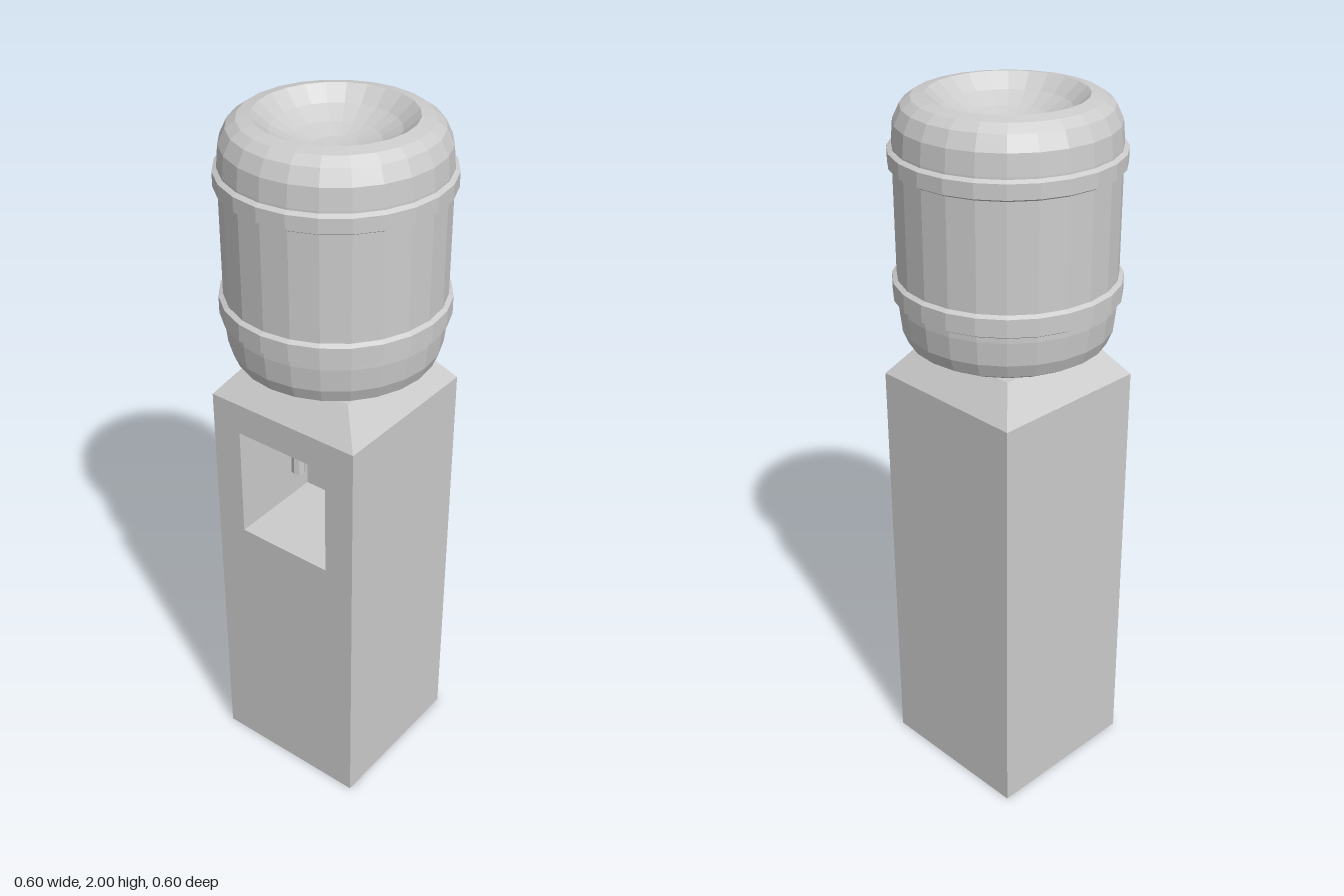
import * as THREE from 'three';

const material = new THREE.MeshStandardMaterial({ color: 0xcccccc, flatShading: true });

const HALF = 0.235;      // half width of the cabinet
const SHOULDER = 1.235;  // height where the cabinet starts to taper
const TOP = 1.325;       // height of the cabinet's flat top
const NICHE = { half: 0.145, y0: 0.815, y1: 1.145, depth: 0.285 };

function addMesh(parent, name, geometry, x = 0, y = 0, z = 0) {
  const mesh = new THREE.Mesh(geometry, material);
  mesh.name = name;
  mesh.position.set(x, y, z);
  parent.add(mesh);
  return mesh;
}

// Box without some faces (order: +x, -x, +y, -y, +z, -z); inward turns it inside out
function openBox(w, h, d, dropped, inward = false) {
  const box = new THREE.BoxGeometry(w, h, d);
  const index = [];
  for (let face = 0; face < 6; face++) {
    if (dropped.includes(face)) continue;
    for (let k = 0; k < 6; k += 3) {
      const [a, b, c] = [0, 1, 2].map((i) => box.index.getX(face * 6 + k + i));
      index.push(...(inward ? [a, c, b] : [a, b, c]));
    }
  }
  box.setIndex(index);
  box.clearGroups();
  box.computeVertexNormals();
  return box;
}

function rectangle(PathType, x, y0, y1) {
  const path = new PathType();
  path.moveTo(-x, y0).lineTo(x, y0).lineTo(x, y1).lineTo(-x, y1).closePath();
  return path;
}

function lathe(points, segments = 24) {
  return new THREE.LatheGeometry(points.map(([r, y]) => new THREE.Vector2(r, y)), segments);
}

function createCabinet() {
  const cabinet = new THREE.Group();
  cabinet.name = 'cabinet';

  // Sides, back and bottom
  addMesh(cabinet, 'cabinetShell', openBox(2 * HALF, SHOULDER, 2 * HALF, [2, 4]), 0, SHOULDER / 2, 0);

  // Front with the opening of the dispensing niche
  const front = rectangle(THREE.Shape, HALF, 0, SHOULDER);
  front.holes.push(rectangle(THREE.Path, NICHE.half, NICHE.y0, NICHE.y1));
  addMesh(cabinet, 'frontPanel', new THREE.ShapeGeometry(front), 0, 0, HALF);

  // Niche walls
  const height = NICHE.y1 - NICHE.y0;
  addMesh(cabinet, 'niche', openBox(2 * NICHE.half, height, NICHE.depth, [4], true),
    0, (NICHE.y0 + NICHE.y1) / 2, HALF - NICHE.depth / 2);

  // Tapered top
  const taper = new THREE.CylinderGeometry(0.165 * Math.SQRT2, HALF * Math.SQRT2, TOP - SHOULDER, 4);
  taper.rotateY(Math.PI / 4);
  addMesh(cabinet, 'taperedTop', taper, 0, (SHOULDER + TOP) / 2, 0);

  // Spout hanging from the niche ceiling
  addMesh(cabinet, 'spout', new THREE.CylinderGeometry(0.019, 0.019, 0.1, 8), 0, NICHE.y1 - 0.05, 0.165);
  return cabinet;
}

function createBottle() {
  const bottle = new THREE.Group();
  bottle.name = 'bottle';

  // Rounded body, followed by the spherical dish in its upper end
  const profile = [
    [0.09, 1.315], [0.09, 1.336], [0.2, 1.336], [0.24, 1.342], [0.268, 1.358],
    [0.283, 1.395], [0.29, 1.46], [0.29, 1.88], [0.285, 1.935], [0.266, 1.974],
    [0.24, 1.993], [0.204, 2],
  ];
  const radius = 0.287;
  const rimHeight = radius * Math.cos(0.8);
  for (let i = 3; i >= 0; i--) {
    const a = i * 0.2;
    profile.push([radius * Math.sin(a), 2 + rimHeight - radius * Math.cos(a)]);
  }
  addMesh(bottle, 'bottleBody', lathe(profile));

  // Raised hoops with chamfered edges
  [[1.473, 1.537], [1.821, 1.876]].forEach(([y0, y1], i) => {
    const hoop = [[0.288, y0], [0.302, y0 + 0.008], [0.302, y1 - 0.008], [0.288, y1]];
    addMesh(bottle, i ? 'upperHoop' : 'lowerHoop', lathe(hoop));
  });
  return bottle;
}

export function createModel() {
  const model = new THREE.Group();
  model.name = 'waterCooler';
  model.add(createCabinet(), createBottle());
  return model;
}
